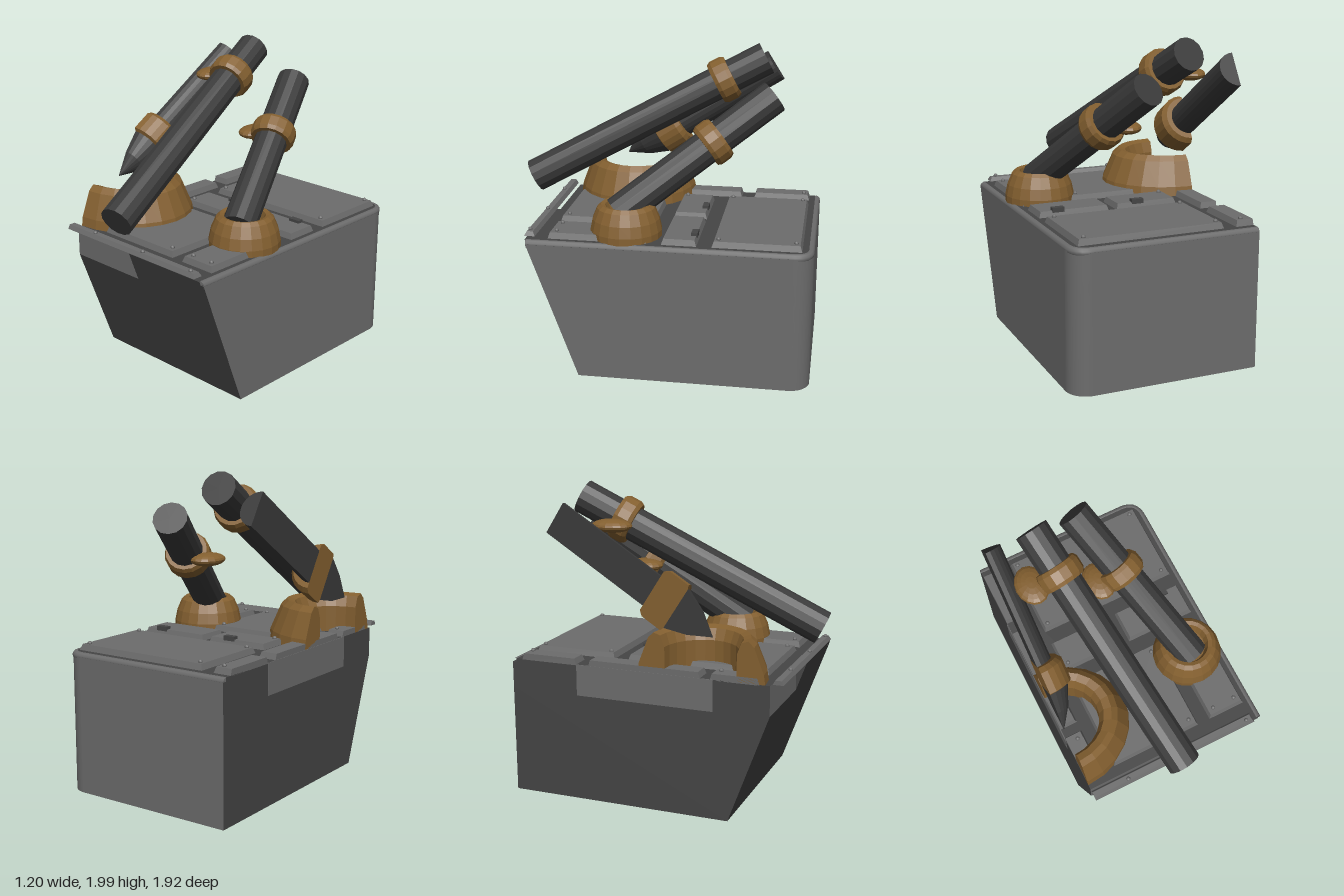
import * as THREE from 'three';

const mat = (name, color, flatShading = false) => {
  const m = new THREE.MeshStandardMaterial({ color, flatShading });
  m.name = name;
  return m;
};

export function createModel() {
  const root = new THREE.Group();
  const grey = mat('hull grey', 0x6c6c6c);
  const dark = mat('deck dark grey', 0x454545);
  const black = mat('barrel charcoal', 0x3a3a3a, true);
  const bronze = mat('bronze', 0x846030, true);

  const add = (name, geo, m, parent = root) => {
    const mesh = new THREE.Mesh(geo, m);
    mesh.name = name;
    parent.add(mesh);
    return mesh;
  };

  // Hull layer: plan outline raised from y0 to y1, front slope set by zf(y)
  const zf = (y) => 0.5 + 0.365 * y;
  function hullLayer(name, y0, y1, inset, notch) {
    const e = 0.6 - inset, b = 0.95 - inset, r = 0.13 - inset;
    const s = new THREE.Shape();
    s.moveTo(-0.6, b);
    s.lineTo(-0.6, notch ? -0.755 : -0.9);
    if (notch) {
      s.lineTo(-0.03, -0.755);
      s.lineTo(-0.03, -0.9);
    }
    s.lineTo(e, -0.9);
    s.lineTo(e, b - r);
    s.absarc(e - r, b - r, r, 0, Math.PI / 2, false);
    const g = new THREE.ExtrudeGeometry(s, { depth: y1 - y0, bevelEnabled: false, curveSegments: 12 });
    g.rotateX(-Math.PI / 2).translate(0, y0, 0);
    const p = g.attributes.position;
    for (let i = 0; i < p.count; i++) if (p.getZ(i) > 0.85) p.setZ(i, zf(p.getY(i)));
    g.computeVertexNormals();
    // Deck, sloped front and the flat right side are dark
    const n = g.attributes.normal;
    g.clearGroups();
    for (let i = 0; i < n.count; i += 3) {
      const isDark = n.getY(i) > 0.5 || n.getX(i) < -0.9 || (n.getZ(i) > 0.5 && n.getY(i) < -0.1);
      g.addGroup(i, 3, isDark ? 1 : 0);
    }
    add(name, g, [grey, dark]);
  }
  hullLayer('lowerHull', 0, 0.7, 0, false);
  hullLayer('upperHull', 0.7, 0.865, 0, true);
  hullLayer('deck', 0.865, 0.89, 0.025, true);

  // Rounded rim along the left side and back
  const v = (x, y, z) => new THREE.Vector3(x, y, z);
  const rim = new THREE.CurvePath();
  rim.add(new THREE.LineCurve3(v(0.573, 0.865, 0.815), v(0.573, 0.865, -0.82)));
  rim.add(new THREE.QuadraticBezierCurve3(v(0.573, 0.865, -0.82), v(0.573, 0.865, -0.923), v(0.47, 0.865, -0.923)));
  rim.add(new THREE.LineCurve3(v(0.47, 0.865, -0.923), v(-0.6, 0.865, -0.923)));
  add('rim', new THREE.TubeGeometry(rim, 120, 0.027, 10), grey);

  // Side panel on the flat right side
  add('sidePanel', new THREE.BoxGeometry(0.006, 0.2, 0.9).translate(-0.6, 0.79, -0.05), grey);

  // Deck plates with chamfered tops
  function plate(x0, x1, z0, z1, name = 'deckPlate', y0 = 0.885) {
    const y1 = 0.927;
    const g = new THREE.BoxGeometry(x1 - x0, y1 - y0, z1 - z0);
    const p = g.attributes.position;
    for (let i = 0; i < p.count; i++) {
      if (p.getY(i) < 0) continue;
      if (p.getX(i) > 0 || x0 > -0.6) p.setX(i, p.getX(i) - Math.sign(p.getX(i)) * 0.014);
      p.setZ(i, p.getZ(i) - Math.sign(p.getZ(i)) * 0.014);
    }
    const flat = g.toNonIndexed();
    flat.computeVertexNormals();
    add(name, flat.translate((x0 + x1) / 2, (y0 + y1) / 2, (z0 + z1) / 2), grey);
  }
  plate(-0.4, 0.54, -0.88, -0.33);
  plate(-0.6, -0.48, -0.88, -0.5);
  plate(-0.6, -0.48, -0.42, 0.32);
  plate(-0.4, 0.02, -0.24, -0.02);
  plate(0.07, 0.54, -0.24, -0.02);
  plate(-0.4, 0.21, 0.07, 0.69);
  plate(0.29, 0.54, 0.07, 0.69);
  plate(-0.6, -0.48, 0.38, 0.69);
  plate(-0.6, 0.54, 0.77, 0.837, 'frontStrip', 0.9);

  // Bolts and small latches
  const bolts = [[-0.36, -0.84], [0.49, -0.84], [0.49, -0.37], [-0.36, -0.37], [-0.53, -0.84],
    [-0.36, -0.06], [0.16, 0.12], [0.16, 0.64], [0.34, 0.64], [0.49, 0.64], [-0.53, 0.43],
    [0.08, 0.81], [0.49, 0.81], [-0.36, 0.81]];
  for (const [x, z] of bolts) add('bolt', new THREE.SphereGeometry(0.014, 8, 6).translate(x, 0.931, z), grey);
  for (const [x, z] of [[0.41, -0.215], [-0.13, -0.215]])
    add('latch', new THREE.BoxGeometry(0.08, 0.03, 0.04).translate(x, 0.93, z), dark);

  // Half-round solid on the flat side; profile is [radius, height], closed by a face
  function halfLathe(name, pts, m, parent, solid) {
    const prof = pts.map(([r, y]) => new THREE.Vector2(r, y));
    add(name, new THREE.LatheGeometry(prof, 12, 0, Math.PI), m, parent);
    const mirrored = pts.map(([r, y]) => new THREE.Vector2(-r, y)).reverse();
    const outlines = solid ? [prof.concat(mirrored)] : [prof, mirrored];
    for (const o of outlines)
      add(name + 'Face', new THREE.ShapeGeometry(new THREE.Shape(o)).rotateY(-Math.PI / 2), m, parent);
  }

  // Large half mount
  const bigMount = new THREE.Group();
  bigMount.name = 'largeMount';
  bigMount.position.set(-0.6, 0, 0.32);
  bigMount.scale.z = 0.88;
  root.add(bigMount);
  halfLathe('mountRing', [[0.46, 0.89], [0.45, 0.95], [0.38, 1.11], [0.34, 1.145], [0.29, 1.13], [0.26, 1.06], [0.26, 0.89]],
    bronze, bigMount, false);

  // Half barrel with pointed end and collar
  const half = new THREE.Group();
  half.name = 'halfBarrel';
  half.position.set(-0.6, 1.15, 0.4);
  half.rotation.x = -Math.atan2(1.02, 0.65);
  root.add(half);
  halfLathe('barrelPoint', [[0.001, 0], [0.09, 0.14], [0.145, 0.28]], black, half, true);
  halfLathe('barrelCollar', [[0.145, 0.28], [0.17, 0.29], [0.17, 0.43], [0.145, 0.46], [0.11, 0.46]], bronze, half, true);
  halfLathe('barrelTube', [[0.11, 0.46], [0.11, 1.21], [0.001, 1.21]], black, half, true);

  // Full barrels, each with a collar and a flattened knob
  const up = v(0, 1, 0);
  function barrel(name, a, b, t, knob) {
    const dir = b.clone().sub(a), len = dir.length();
    const g = new THREE.Group();
    g.name = name;
    g.position.copy(a);
    g.quaternion.setFromUnitVectors(up, dir.normalize());
    root.add(g);
    add('barrelTube', new THREE.CylinderGeometry(0.107, 0.107, len, 14).translate(0, len / 2, 0), black, g);
    const c = [[0.1, -0.06], [0.132, -0.06], [0.145, -0.035], [0.145, 0.035], [0.132, 0.06], [0.1, 0.06]];
    add('barrelCollar', new THREE.LatheGeometry(c.map(([r, y]) => new THREE.Vector2(r, y)), 16).translate(0, len * t, 0), bronze, g);
    const k = add('collarKnob', new THREE.SphereGeometry(1, 16, 10), bronze);
    k.position.copy(knob);
    k.scale.set(0.1, 0.042, 0.13);
  }
  barrel('longBarrel', v(-0.03, 1.12, 0.915), v(-0.3, 1.9, -0.575), 0.82, v(-0.43, 1.745, -0.32));
  barrel('leftBarrel', v(0.37, 1.02, 0.28), v(0.0, 1.715, -0.65), 0.61, v(-0.01, 1.43, -0.29));

  // Small round mount under the left barrel
  const m = [[0.225, 0.885], [0.225, 0.93], [0.21, 1.0], [0.18, 1.07], [0.155, 1.092], [0.13, 1.085], [0.11, 1.03], [0, 1.02]];
  add('smallMount', new THREE.LatheGeometry(m.map(([r, y]) => new THREE.Vector2(r, y)), 20).translate(0.37, 0, 0.225), bronze);

  return root;
}
